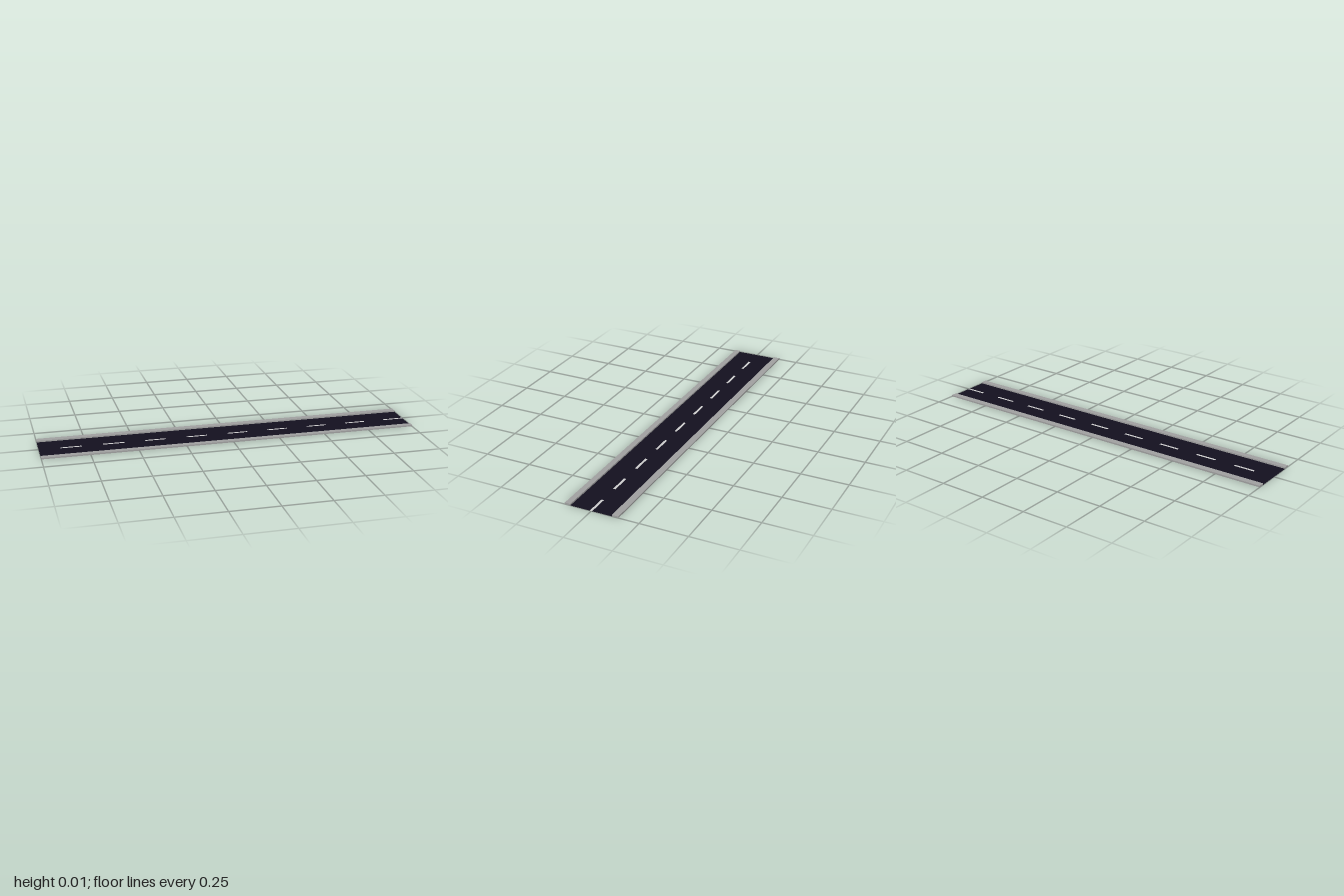
import * as THREE from 'three';

const LENGTH = 2, TILES = 9, TILE = LENGTH / TILES;
const CURB_HEIGHT = 0.008;
const ROAD_BACK = -0.109, ROAD_FRONT = 0.113, EDGE = 0.143;
const MIDDLE = (ROAD_BACK + ROAD_FRONT) / 2, DASH_WIDTH = 0.013;

const asphalt = new THREE.MeshStandardMaterial({ color: 0x13101f, side: THREE.DoubleSide });
const paint = new THREE.MeshStandardMaterial({ color: 0xcccccc, side: THREE.DoubleSide });
const concrete = new THREE.MeshStandardMaterial({ color: 0xa0a0a0 });

// Flat rectangle on the ground between two x and two z limits
function patch(name, material, x0, x1, z0, z1) {
  const geometry = new THREE.PlaneGeometry(x1 - x0, z1 - z0).rotateX(-Math.PI / 2);
  const mesh = new THREE.Mesh(geometry, material);
  mesh.name = name;
  mesh.position.set((x0 + x1) / 2, 0, (z0 + z1) / 2);
  return mesh;
}

// Raised kerb along the whole road
function curb(name, z0, z1) {
  const mesh = new THREE.Mesh(new THREE.BoxGeometry(LENGTH, CURB_HEIGHT, z1 - z0), concrete);
  mesh.name = name;
  mesh.position.set(0, CURB_HEIGHT / 2, (z0 + z1) / 2);
  return mesh;
}

export function createModel() {
  const road = new THREE.Group();
  road.name = 'road';
  const dashBack = MIDDLE - DASH_WIDTH / 2, dashFront = MIDDLE + DASH_WIDTH / 2;

  // Two lanes
  road.add(patch('backLane', asphalt, -1, 1, ROAD_BACK, dashBack));
  road.add(patch('frontLane', asphalt, -1, 1, dashFront, ROAD_FRONT));

  // Centre line: asphalt gap then painted dash, set flush between the lanes
  for (let i = 0; i < TILES; i++) {
    const x = -1 + i * TILE;
    road.add(patch('centreGap', asphalt, x, x + TILE / 2, dashBack, dashFront));
    road.add(patch('centreDash', paint, x + TILE / 2, x + TILE, dashBack, dashFront));
  }

  // Kerbs on both sides
  road.add(curb('backCurb', -EDGE, ROAD_BACK));
  road.add(curb('frontCurb', ROAD_FRONT, EDGE));
  return road;
}
